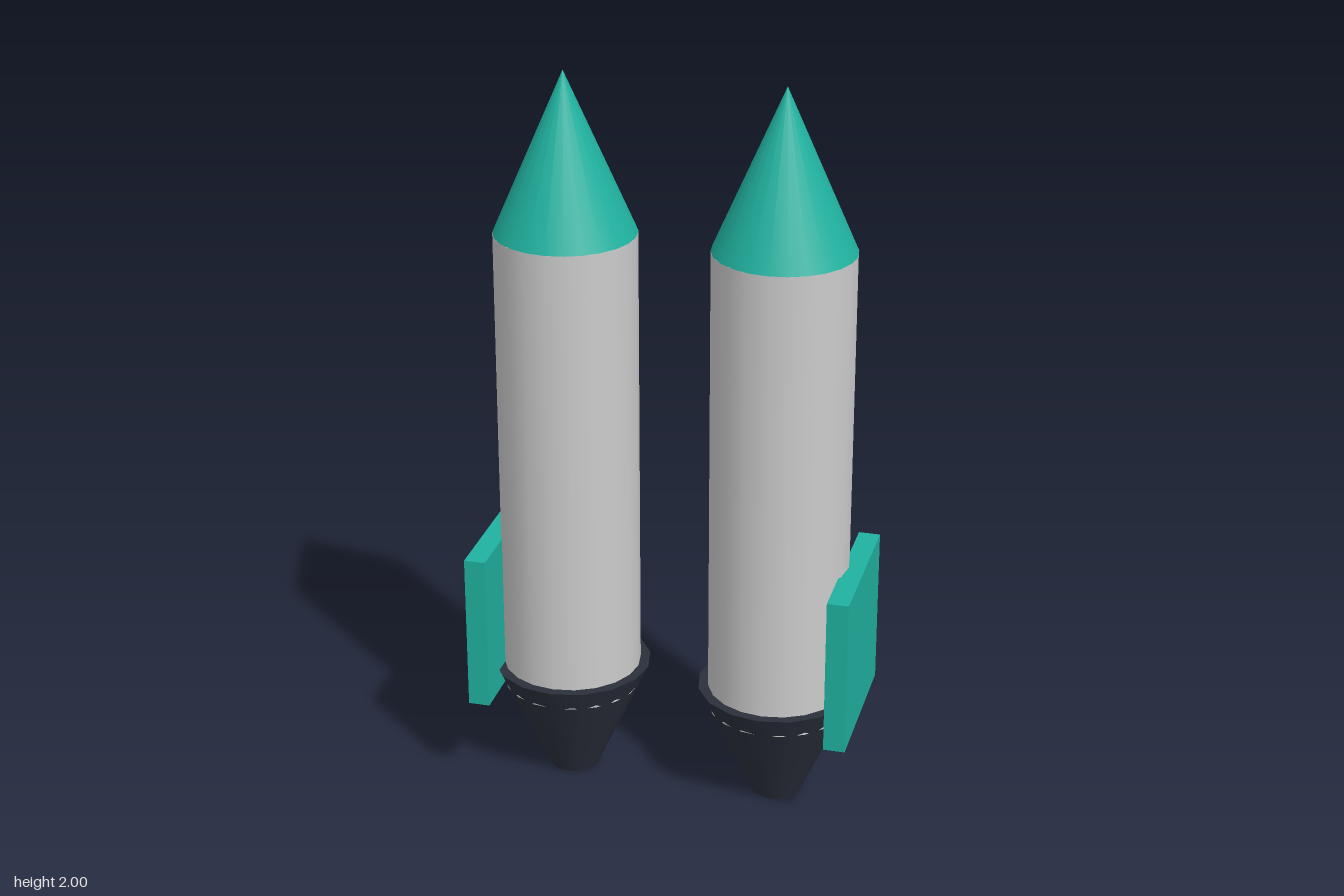
import * as THREE from 'three';

const grey = new THREE.MeshStandardMaterial({ color: 0xcccccc });
const teal = new THREE.MeshStandardMaterial({ color: 0x20b2a0 });
const dark = new THREE.MeshStandardMaterial({ color: 0x2b303c });

function part(name, geometry, material, x, y) {
  const mesh = new THREE.Mesh(geometry, material);
  mesh.name = name;
  mesh.position.set(x, y, 0);
  return mesh;
}

// Cylinder or cone standing between two heights
function round(name, rTop, rBottom, y0, y1, sides, material) {
  const geometry = new THREE.CylinderGeometry(rTop, rBottom, y1 - y0, sides);
  return part(name, geometry, material, 0, (y0 + y1) / 2);
}

// One booster; side is +1 or -1 and places the fin on the outside
function createBooster(side) {
  const booster = new THREE.Group();
  booster.name = side > 0 ? 'leftBooster' : 'rightBooster';
  booster.position.x = side * 0.289;

  booster.add(round('body', 0.188, 0.188, 0.265, 1.57, 20, grey));

  const nose = new THREE.ConeGeometry(0.188, 0.43, 24);
  booster.add(part('noseCone', nose, teal, 0, 1.785));

  // Nozzle narrows downward, its wide rim standing proud of the body
  booster.add(round('nozzle', 0.216, 0.068, 0, 0.325, 16, dark));

  // Flat outer fin
  booster.add(part('fin', new THREE.BoxGeometry(0.058, 0.433, 0.433), teal, side * 0.202, 0.482));
  return booster;
}

export function createModel() {
  const model = new THREE.Group();
  model.name = 'twinBoosters';
  for (const side of [-1, 1]) model.add(createBooster(side));
  return model;
}
